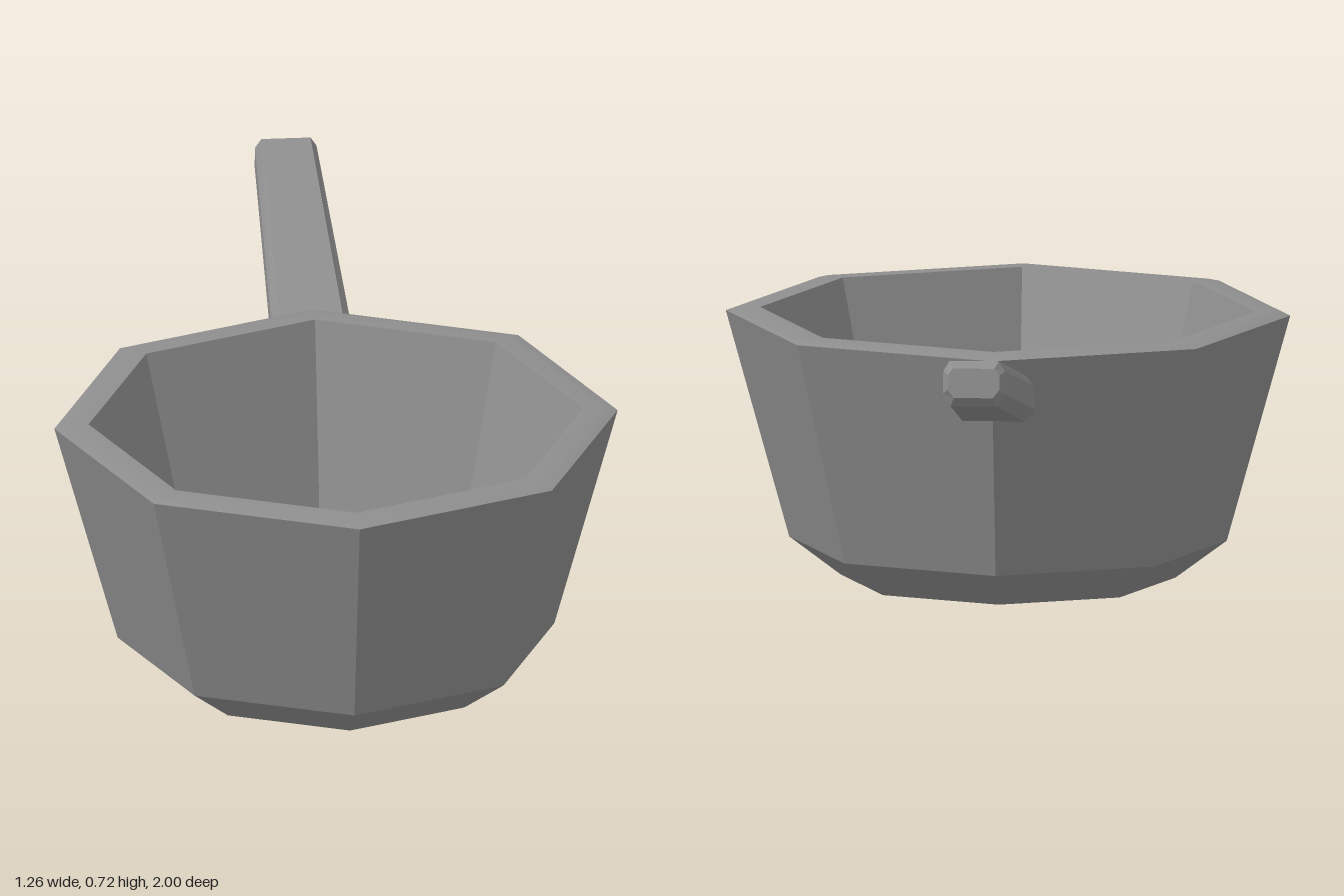
import * as THREE from 'three';

const SIDES = 8;

// Octagonal surface of revolution from [radius, y] points; faceted or smooth
function ring(name, points, material, faceted) {
  let geo = new THREE.LatheGeometry(points.map(([r, y]) => new THREE.Vector2(r, y)), SIDES);
  if (faceted) {
    geo = geo.toNonIndexed();
    geo.computeVertexNormals();
  }
  const mesh = new THREE.Mesh(geo, material);
  mesh.name = name;
  return mesh;
}

// Tapered bar with chamfered edges, lofted through stations { z, y, w, h }
function loft(stations, tilt) {
  const section = [[0.8, 1], [-0.8, 1], [-1, 0.55], [-1, -0.45], [-0.75, -1], [0.75, -1], [1, -0.45], [1, 0.55]];
  const n = section.length;
  const at = (s, i) => {
    const [u, v] = section[i % n];
    const d = v * s.h;
    return [u * s.w, s.y + d * Math.cos(tilt), s.z + d * Math.sin(tilt)];
  };
  const pos = [];
  const tri = (...pts) => pts.forEach((p) => pos.push(...p));
  for (let k = 0; k < stations.length - 1; k++) {
    for (let i = 0; i < n; i++) {
      const a = at(stations[k], i), b = at(stations[k], i + 1);
      const c = at(stations[k + 1], i), d = at(stations[k + 1], i + 1);
      tri(a, c, b);
      tri(b, c, d);
    }
  }
  // End caps
  const first = stations[0], last = stations[stations.length - 1];
  for (let i = 0; i < n; i++) {
    tri([0, first.y, first.z], at(first, i), at(first, i + 1));
    tri([0, last.y, last.z], at(last, i + 1), at(last, i));
  }
  const geo = new THREE.BufferGeometry();
  geo.setAttribute('position', new THREE.Float32BufferAttribute(pos, 3));
  geo.computeVertexNormals();
  return geo;
}

export function createModel() {
  const model = new THREE.Group();
  model.name = 'saucepan';
  const metal = new THREE.MeshStandardMaterial({ color: 0x8e8e8e });
  metal.name = 'grey metal';

  // Pan body, from the underside round the rim to the inner floor
  const pan = new THREE.Group();
  pan.name = 'pan';
  pan.position.z = 0.366;
  pan.add(
    ring('underside', [[0, 0], [0.375, 0]], metal, true),
    ring('lowerBevel', [[0.375, 0], [0.49, 0.085]], metal, false),
    ring('outerWall', [[0.49, 0.085], [0.632, 0.597]], metal, true),
    ring('rim', [[0.632, 0.597], [0.6, 0.605], [0.555, 0.605]], metal, false),
    ring('innerWall', [[0.555, 0.605], [0.42, 0.11]], metal, true),
    ring('innerFloor', [[0.42, 0.11], [0, 0.11]], metal, true),
  );
  model.add(pan);

  // Rising handle with a chamfered tip
  const handle = new THREE.Mesh(loft([
    { z: -0.19, y: 0.499, w: 0.092, h: 0.051 },
    { z: -0.972, y: 0.669, w: 0.069, h: 0.051 },
    { z: -0.993, y: 0.6735, w: 0.058, h: 0.033 },
  ], 0.214), metal);
  handle.name = 'handle';
  model.add(handle);
  return model;
}
